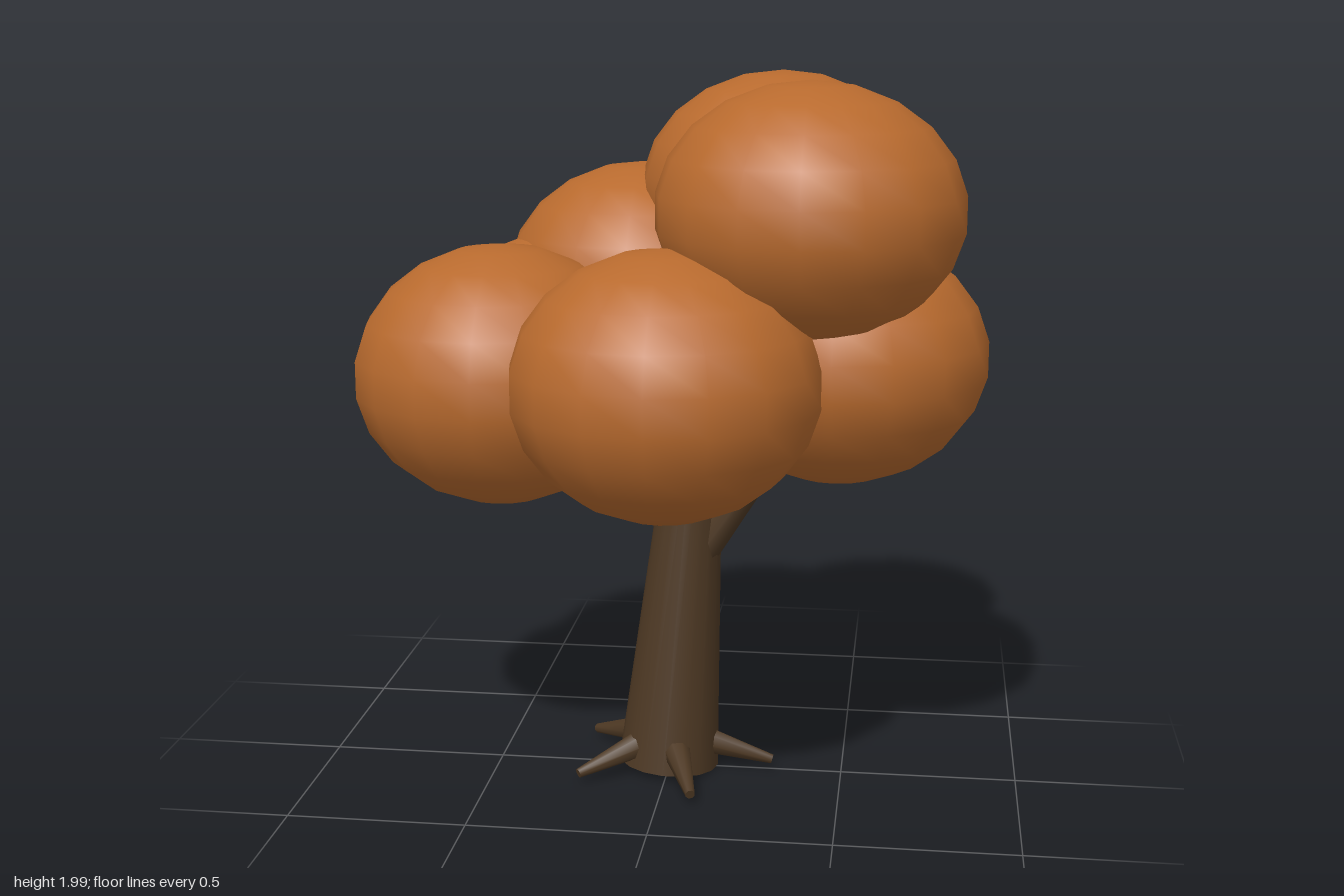
import * as THREE from 'three';

const bark = new THREE.MeshStandardMaterial({ color: 0x4d3823 });
bark.name = 'dark bark';
const leaves = new THREE.MeshStandardMaterial({ color: 0xb86a2e });
leaves.name = 'autumn leaves';

// Tapered limb running from point a to point b
function limb(name, a, b, r0, r1, sides) {
  const from = new THREE.Vector3(...a);
  const to = new THREE.Vector3(...b);
  const dir = to.clone().sub(from);
  const mesh = new THREE.Mesh(new THREE.CylinderGeometry(r1, r0, dir.length(), sides), bark);
  mesh.name = name;
  mesh.position.copy(from).add(to).multiplyScalar(0.5);
  mesh.quaternion.setFromUnitVectors(new THREE.Vector3(0, 1, 0), dir.normalize());
  return mesh;
}

export function createModel() {
  const tree = new THREE.Group();
  tree.name = 'tree';

  // Leaning trunk
  tree.add(limb('trunk', [-0.005, 0.017, -0.01], [0.075, 1.12, -0.045], 0.145, 0.07, 16));

  // Five roots spread evenly around the base
  for (let i = 0; i < 5; i++) {
    const a = (i * Math.PI * 2) / 5;
    const c = Math.cos(a), s = Math.sin(a);
    tree.add(limb('root', [c * 0.09, 0.09, s * 0.09], [c * 0.3, 0.035, s * 0.3], 0.042, 0.014, 8));
  }

  // Branches reaching into the crown
  const branches = [
    [[0.09, 0.66, -0.01], [0.32, 1.0, 0.0]],
    [[0.03, 0.72, -0.02], [-0.2, 0.95, 0.02]],
    [[0.045, 0.77, 0.0], [0.04, 1.02, 0.24]],
    [[0.05, 0.8, -0.04], [-0.04, 1.06, -0.25]],
  ];
  for (const [a, b] of branches) tree.add(limb('branch', a, b, 0.05, 0.035, 8));

  // Leaf clumps: x, y, z, horizontal radius, vertical radius
  const clumps = [
    [0.035, 1.22, 0.39, 0.415, 0.36],
    [-0.472, 1.172, 0.04, 0.415, 0.365],
    [-0.365, 1.172, -0.27, 0.405, 0.355],
    [-0.125, 1.37, -0.39, 0.415, 0.36],
    [0.47, 1.235, -0.005, 0.415, 0.35],
    [0.395, 1.655, 0.195, 0.415, 0.345],
    [0.285, 1.655, -0.325, 0.41, 0.345],
  ];
  const ball = new THREE.SphereGeometry(1, 16, 11);
  for (const [x, y, z, r, h] of clumps) {
    const clump = new THREE.Mesh(ball, leaves);
    clump.name = 'leafClump';
    clump.position.set(x, y, z);
    clump.scale.set(r, h, r);
    tree.add(clump);
  }
  return tree;
}
